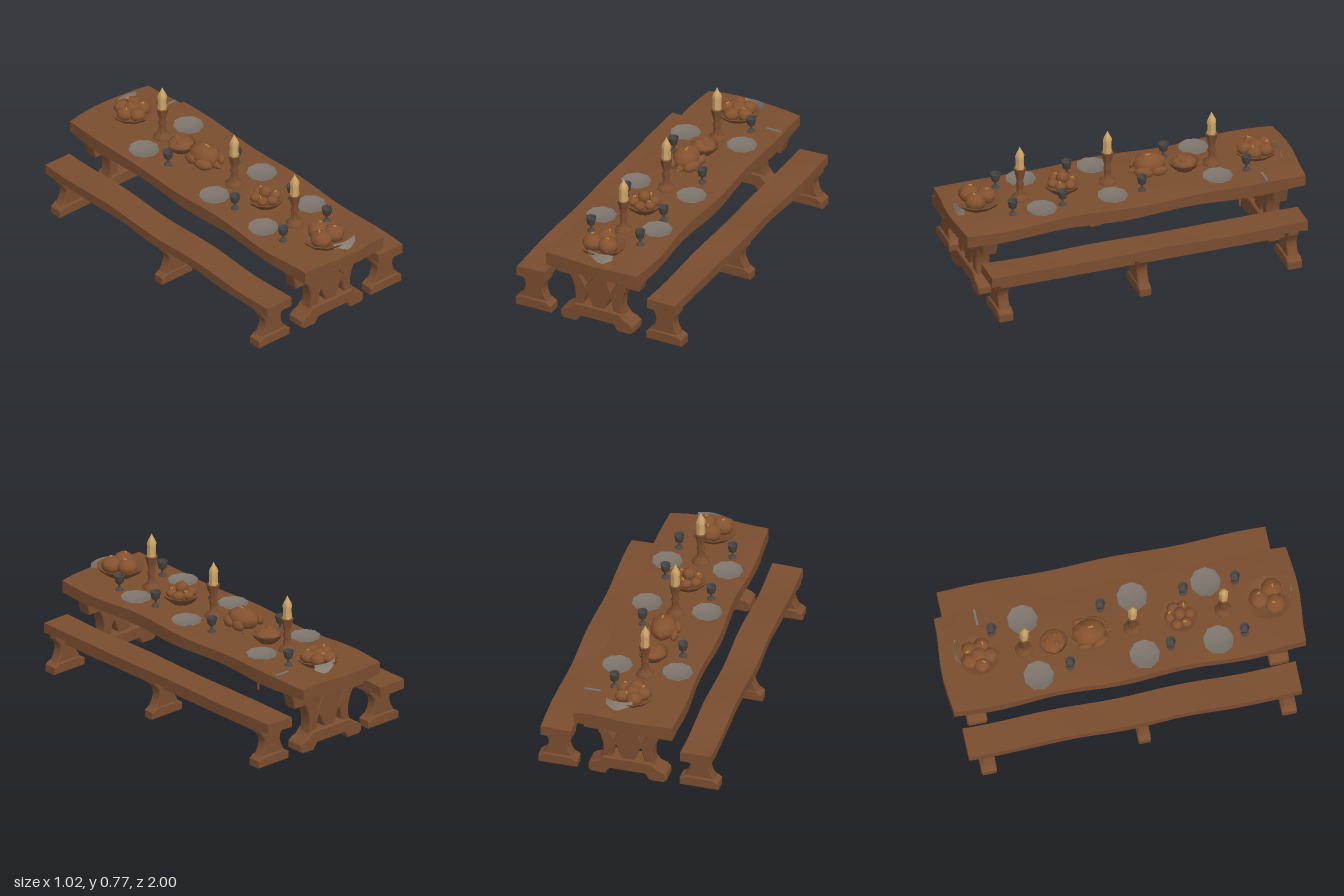
import * as THREE from 'three';
import { toCreasedNormals } from 'three/addons/utils/BufferGeometryUtils.js';

const mat = (name, color, side = THREE.FrontSide) => {
  const m = new THREE.MeshStandardMaterial({ color, side });
  m.name = name;
  return m;
};

export function createModel() {
  const wood = mat('wood', 0x7a4d2f);
  const food = mat('roasted food', 0x84522f);
  const pewter = mat('pewter plate', 0x7c746b);
  const iron = mat('dark goblet metal', 0x4a4745);
  const wax = mat('candle wax', 0xcfa567);
  const linen = mat('linen', 0x94877a, THREE.DoubleSide);
  const garnish = mat('garnish', 0xb9853f);
  const root = new THREE.Group();

  const add = (parent, name, geo, material, x = 0, y = 0, z = 0) => {
    const m = new THREE.Mesh(geo, material);
    m.name = name;
    m.position.set(x, y, z);
    parent.add(m);
    return m;
  };
  const group = (name, x = 0, y = 0, z = 0, parent = root) => {
    const g = new THREE.Group();
    g.name = name;
    g.position.set(x, y, z);
    parent.add(g);
    return g;
  };
  // Move every vertex by a rule, then keep hard edges sharp
  const warp = (geo, rule, crease = 0.7) => {
    const p = geo.attributes.position, v = new THREE.Vector3();
    for (let i = 0; i < p.count; i++) {
      rule(v.fromBufferAttribute(p, i));
      p.setXYZ(i, v.x, v.y, v.z);
    }
    geo.computeVertexNormals();
    return toCreasedNormals(geo, crease);
  };
  const lathe = (pts, sides) => toCreasedNormals(
    new THREE.LatheGeometry(pts.map(([r, y]) => new THREE.Vector2(r, y)), sides), 0.8);
  // Outline given for the right half from bottom to top, mirrored to the left
  const mirrored = half => [...half, ...half.map(([x, y]) => [-x, y]).reverse()];
  const toV2 = pts => pts.map(([x, y]) => new THREE.Vector2(x, y));
  const profile = (pts, depth, holes = []) => {
    const s = new THREE.Shape(toV2(pts));
    holes.forEach(h => s.holes.push(new THREE.Path(toV2(h))));
    const b = 0.006;
    const g = new THREE.ExtrudeGeometry(s, { depth: depth - 2 * b, bevelThickness: b, bevelSize: b, bevelOffset: -b, bevelSegments: 1 });
    g.translate(0, 0, -depth / 2 + b);
    return toCreasedNormals(g, 0.6);
  };
  const flip = pts => pts.map(([x, y]) => [-x, y]);

  // ---- Table ----
  const table = group('table');
  const top = new THREE.BoxGeometry(0.57, 0.07, 1.98, 6, 2, 28);
  add(table, 'tableTop', warp(top, v => {
    const edge = Math.abs(v.x) > 0.28 ? 1 : 0, low = v.y < -0.03 ? 1 : 0;
    v.x += edge * 0.008 * Math.sin(v.z * 9 + v.x * 4) + 0.005 + 0.003 * v.z;
    v.y += low * (0.008 * Math.sin(v.z * 8 + 1) * Math.cos(v.x * 7) - 0.004);
    if (edge && v.y > 0.03) v.y -= 0.006 + 0.006 * Math.sin(v.z * 7 + v.x * 9);
    if (Math.abs(v.z) > 0.98) v.z += 0.012 * Math.sin(v.x * 10 + v.z);
  }), wood, 0, 0.413, 0);
  // Split wood hanging from the ends and side
  const split = profile([[-0.09, 0.06], [-0.055, 0.02], [-0.005, -0.04], [0.04, 0.01], [0.10, 0.06]], 0.014);
  add(table, 'endSplinter', split, wood, 0, 0.37, 0.987);
  add(table, 'sideSplinter', new THREE.BoxGeometry(0.012, 0.08, 0.01), wood, 0.27, 0.355, -0.6);
  add(table, 'underBatten', new THREE.BoxGeometry(0.48, 0.02, 0.12), wood, 0, 0.377, 0.0);

  const upper = [[0.045, 0.355], [0.066, 0.26], [0.078, 0.232], [0.085, 0.25], [0.115, 0.30], [0.115, 0.355]];
  const lower = [[0.038, 0.122], [0.092, 0.122], [0.08, 0.18], [0.07, 0.20], [0.06, 0.175]];
  const frame = mirrored([[0.13, 0.07], [0.15, 0.11], [0.14, 0.15], [0.143, 0.2], [0.158, 0.25], [0.19, 0.31], [0.19, 0.385]]);
  const foot = mirrored([[0.10, 0.045], [0.125, 0.008], [0.205, 0.008], [0.222, 0.025], [0.22, 0.06], [0.195, 0.08],
    [0.165, 0.09], [0.14, 0.12]]);
  const bracket = [[0.165, 0.282], [0.25, 0.282], [0.275, 0.385], [0.165, 0.385]];
  for (const z of [-0.84, 0.84]) {
    const t = group('tableTrestle', 0, 0, z, table);
    add(t, 'crossedLegs', profile(frame, 0.08, [upper, flip(upper), lower, flip(lower)]), wood);
    add(t, 'trestleFoot', profile(foot, 0.11), wood);
    add(t, 'bracketLeft', profile(bracket, 0.085), wood);
    add(t, 'bracketRight', profile(flip(bracket).reverse(), 0.085), wood);
    add(t, 'trestleRail', new THREE.BoxGeometry(0.4, 0.03, 0.11), wood, 0, 0.37, 0);
  }

  // ---- Benches ----
  const benchLeg = mirrored([[0.045, 0.06], [0.085, 0.06], [0.063, 0.1], [0.054, 0.135], [0.06, 0.165], [0.086, 0.2], [0.086, 0.225]]);
  const benchHole = [[0.008, 0.066], [0.032, 0.066], [0.024, 0.096]];
  const benchFoot = mirrored([[0.07, 0.003], [0.11, 0.003], [0.11, 0.045], [0.095, 0.055], [0.075, 0.066]]);
  for (const side of [-1, 1]) {
    const b = group(side > 0 ? 'leftBench' : 'rightBench', side * 0.4, 0, 0);
    const back = side > 0 ? -0.92 : -0.945, len = 0.91 - back;
    add(b, 'benchSeat', warp(new THREE.BoxGeometry(0.172, 0.054, len, 2, 1, 24), v => {
      v.y += 0.004 * Math.sin(v.z * 8 + v.x * 8 + side);
      if (Math.abs(v.x) > 0.08) v.x += 0.004 * Math.sin(v.z * 9 + side);
      if (v.y < 0) v.y -= 0.004 * Math.cos(v.z * 13);
    }), wood, 0, 0.243, (0.91 + back) / 2);
    add(b, 'benchBeam', new THREE.BoxGeometry(0.055, 0.055, 1.74), wood, 0, 0.19, 0);
    for (const z of [-0.835, 0.03, 0.835]) {
      const l = group('benchTrestle', 0, 0, z, b);
      add(l, 'benchLeg', profile(benchLeg, 0.062, [benchHole, flip(benchHole)]), wood);
      add(l, 'benchFoot', profile(benchFoot, z === 0.03 ? 0.07 : 0.085), wood);
    }
  }

  // ---- Plates, goblets and candlesticks ----
  const plateGeo = lathe([[0, 0], [0.05, 0], [0.086, 0.016], [0.084, 0.02], [0.05, 0.008], [0, 0.007]], 9);
  [[-0.17, -0.49], [0.165, -0.51], [-0.17, 0.1], [0.17, 0.1], [-0.17, 0.51], [0.172, 0.51]].forEach(([x, z], i) => {
    add(root, 'plate', plateGeo, pewter, x, 0.451, z).rotation.y = i * 0.7;
  });
  const gobletGeo = lathe([[0, 0], [0.023, 0], [0.02, 0.008], [0.007, 0.016], [0.007, 0.035], [0.022, 0.046],
    [0.03, 0.088], [0.025, 0.088], [0.017, 0.055], [0, 0.05]], 8);
  [[0.13, -0.69], [-0.15, -0.31], [0.145, -0.08], [-0.15, 0.25], [0.145, 0.38], [-0.155, 0.66], [0.15, 0.67]]
    .forEach(([x, z]) => add(root, 'goblet', gobletGeo, iron, x, 0.448, z));
  const stickGeo = lathe([[0, 0], [0.052, 0], [0.05, 0.012], [0.026, 0.03], [0.018, 0.07], [0.024, 0.09],
    [0.018, 0.11], [0.026, 0.15], [0.036, 0.19], [0.03, 0.192], [0, 0.18]], 7);
  const candleGeo = lathe([[0.026, 0], [0.024, 0.06], [0.027, 0.085], [0.017, 0.108], [0.012, 0.115], [0, 0.142]], 6);
  for (const z of [-0.535, 0.068, 0.575]) {
    const c = group('candlestick', 0, 0.448, z);
    add(c, 'candleHolder', stickGeo, wood);
    add(c, 'candle', candleGeo, wax, 0, 0.184, 0);
  }

  // ---- Serving bowls and food ----
  const blob = (parent, name, x, y, z, rx, ry, rz, material = food) => {
    const g = warp(new THREE.SphereGeometry(1, 9, 7), v => v.multiplyScalar(1 + 0.06 * Math.sin(v.x * 5 + v.z * 4 + v.y * 3)), 1.2);
    const m = add(parent, name, g, material, x, y, z);
    m.scale.set(rx, ry, rz);
    return m;
  };
  const bowl = (z, r, h, name) => {
    const g = group(name, 0, 0.448, z);
    add(g, 'bowl', lathe([[0, 0], [r * 0.55, 0], [r * 0.85, h * 0.5], [r, h], [r * 0.92, h], [r * 0.7, h * 0.55], [0, h * 0.45]], 11), wood);
    return g;
  };
  const pile = (g, n, ring, size, y) => {
    for (let i = 0; i < n; i++) {
      const a = i * 2 * Math.PI / n + 0.5;
      blob(g, 'loaf', ring * Math.cos(a), y, ring * Math.sin(a), size * (1 + 0.15 * Math.sin(i * 3)), size * 0.8, size).rotation.y = a;
    }
  };
  const flecks = (g, r, y) => {
    for (let i = 0; i < 3; i++)
      add(g, 'garnish', new THREE.BoxGeometry(0.018, 0.008, 0.008), garnish, r * Math.cos(i * 2.2 + 0.6), y, r * Math.sin(i * 2.2 + 0.6)).rotation.y = i;
  };

  const front = bowl(0.825, 0.135, 0.052, 'frontBreadBowl');
  pile(front, 3, 0.052, 0.06, 0.06);
  flecks(front, 0.055, 0.107);
  const rear = bowl(-0.79, 0.122, 0.045, 'rearBreadBowl');
  pile(rear, 5, 0.06, 0.045, 0.052);
  blob(rear, 'loaf', 0, 0.06, 0, 0.045, 0.035, 0.05);
  flecks(rear, 0.06, 0.088);
  const fruit = bowl(0.33, 0.104, 0.05, 'fruitBowl');
  pile(fruit, 6, 0.055, 0.032, 0.056);
  blob(fruit, 'fruit', 0, 0.085, 0, 0.036, 0.036, 0.036);
  flecks(fruit, 0.055, 0.082);
  const small = bowl(-0.375, 0.088, 0.052, 'smallBowl');
  blob(small, 'stew', 0, 0.042, 0, 0.072, 0.028, 0.072);
  pile(small, 3, 0.03, 0.02, 0.06);

  // Roast bird on a frilled platter
  const roast = group('roastPlatter', 0, 0.448, -0.165);
  add(roast, 'platter', warp(new THREE.CylinderGeometry(0.125, 0.07, 0.024, 18), v => {
    const a = Math.atan2(v.z, v.x);
    if (v.x * v.x + v.z * v.z > 0.01) { v.x *= 1 + 0.06 * Math.sin(a * 9); v.z *= 1 + 0.06 * Math.sin(a * 9); }
  }), wood, 0, 0.014, 0);
  blob(roast, 'birdBody', 0, 0.072, -0.01, 0.075, 0.06, 0.098);
  for (const s of [-1, 1]) {
    blob(roast, 'birdLeg', s * 0.06, 0.055, 0.045, 0.026, 0.03, 0.055).rotation.y = -s * 0.5;
    blob(roast, 'birdWing', s * 0.073, 0.055, -0.045, 0.02, 0.028, 0.045);
  }
  add(roast, 'birdTail', new THREE.ConeGeometry(0.03, 0.07, 6), food, 0, 0.045, 0.1).rotation.x = Math.PI / 2;
  add(roast, 'garnish', new THREE.BoxGeometry(0.008, 0.006, 0.03), garnish, 0.005, 0.131, 0);

  // Draped linen at the bread bowls and a knife on the table
  const drape = (z, dir) => {
    const g = new THREE.PlaneGeometry(0.15, 0.06, 6, 2);
    const cloth = warp(g, v => {
      const a = v.x / 0.14, out = 0.139 - v.y * 0.15;
      if (v.y < -0.02) v.y += Math.abs(v.x - 0.015) * 0.5;
      v.z = dir * out * Math.cos(a);
    });
    add(root, 'linenDrape', cloth, linen, 0.045, 0.48, z);
  };
  drape(0.82, 1);
  drape(-0.775, -1);
  add(root, 'knife', new THREE.BoxGeometry(0.09, 0.006, 0.012), pewter, 0.235, 0.451, -0.755);

  return root;
}
